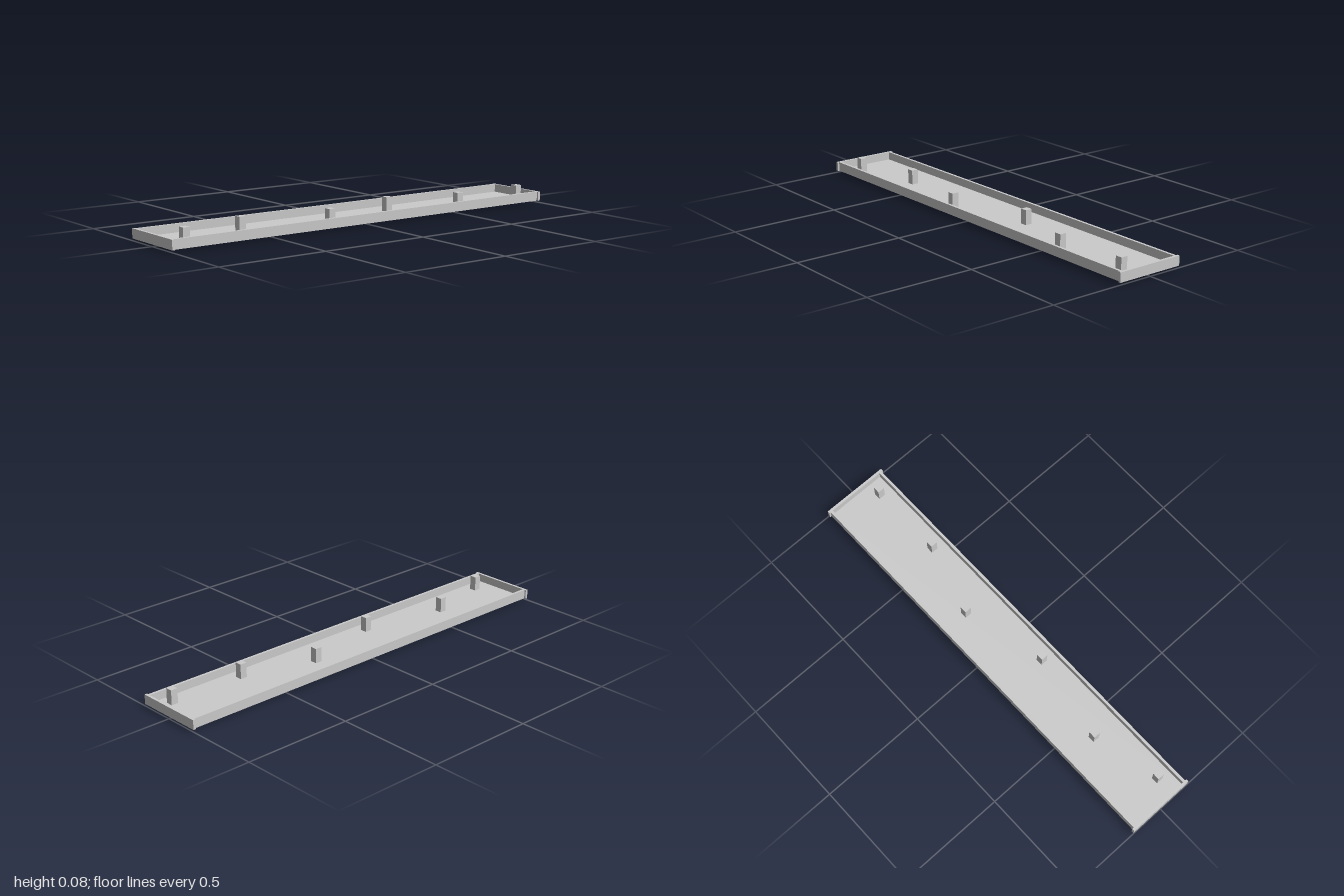
import * as THREE from 'three';

export function createModel() {
  const model = new THREE.Group();
  const material = new THREE.MeshStandardMaterial({ color: 0xcccccc, flatShading: true });

  const addBox = (name, [w, h, d], [x, y, z]) => {
    const mesh = new THREE.Mesh(new THREE.BoxGeometry(w, h, d), material);
    mesh.name = name;
    mesh.position.set(x, y, z);
    model.add(mesh);
  };

  const bottom = 0.009, top = 0.052, wall = 0.012;
  const height = top - bottom, midY = (top + bottom) / 2;

  // Thin tray floor
  addBox('floor', [1.976, 0.006, 0.28], [0, bottom + 0.003, 0]);

  // Long rails, and end boards reaching slightly past them
  for (const s of [1, -1]) {
    addBox(s > 0 ? 'frontRail' : 'backRail', [1.976, height, wall], [0, midY, s * 0.146]);
    addBox(s > 0 ? 'leftEndBoard' : 'rightEndBoard', [wall, height, 0.32], [s * 0.994, midY, 0]);
  }

  // Square pegs passing through the floor, as [x, z]
  const pegs = [[-0.896, 0.081], [-0.58, 0.007], [-0.17, 0.081], [0.22, -0.017], [0.557, 0.081], [0.92, 0.081]];
  pegs.forEach(([x, z], i) => addBox(`peg${i + 1}`, [0.032, 0.082, 0.032], [x, 0.041, z]));

  return model;
}
